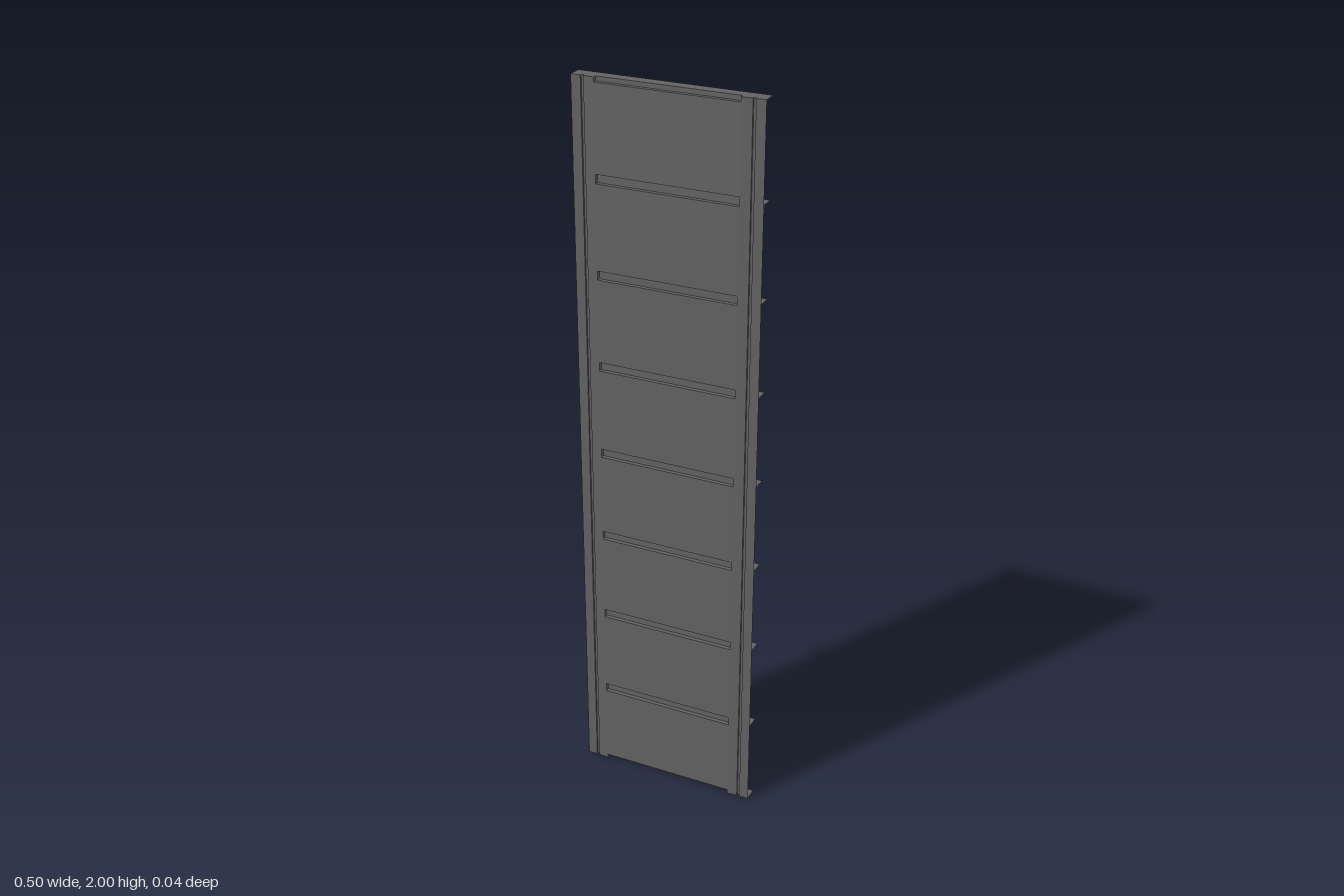
import * as THREE from 'three';

const H = 2, PITCH = 0.25, COUNT = 9;
const HALF = 0.25, SLOT_X = 0.188, SLOT_H = 0.012;
const FACE = 0.021, SLOT_Z = 0.01, BACK = -0.021;

// Edge profile of the pressed sheet, [x, z] from the slot end outwards
const EDGE = [
  [SLOT_X, FACE], [0.2165, 0.0185], [0.2165, 0.0135],
  [0.2242, 0.0135], [0.2242, 0.0185], [HALF, 0.0185],
];

const material = new THREE.MeshStandardMaterial({ color: 0x626262, side: THREE.DoubleSide });

// Flat-shaded ribbon between two equally long rows of points
function ribbon(a, b) {
  const pos = [];
  for (let i = 0; i < a.length - 1; i++) {
    pos.push(...a[i], ...a[i + 1], ...b[i + 1], ...a[i], ...b[i + 1], ...b[i]);
  }
  const g = new THREE.BufferGeometry();
  g.setAttribute('position', new THREE.Float32BufferAttribute(pos, 3));
  g.computeVertexNormals();
  return g;
}

export function createModel() {
  const group = new THREE.Group();
  const add = (name, geometry) => {
    const mesh = new THREE.Mesh(geometry, material);
    mesh.name = name;
    group.add(mesh);
    return mesh;
  };

  // Side strips with a vertical groove, mirrored
  for (const s of [1, -1]) {
    const row = (y) => {
      const r = EDGE.map(([x, z]) => [s * x, y, z]);
      return s > 0 ? r : r.reverse();
    };
    add(s > 0 ? 'leftGroovedStrip' : 'rightGroovedStrip', ribbon(row(0), row(H)));
  }

  // Central sheet, stepping back into a slot at every shelf level
  const steps = [];
  for (let i = 0; i < COUNT; i++) {
    const y = i * PITCH, lo = Math.max(0, y - SLOT_H), hi = Math.min(H, y + SLOT_H);
    if (i > 0) steps.push([lo, FACE]);
    steps.push([lo, SLOT_Z], [hi, SLOT_Z]);
    if (i < COUNT - 1) steps.push([hi, FACE]);

    // Slot end walls
    for (const s of [1, -1]) {
      const x = s * SLOT_X;
      add('slotEnd', ribbon([[x, lo, SLOT_Z], [x, hi, SLOT_Z]], [[x, lo, FACE], [x, hi, FACE]]));
    }
  }
  const column = (x) => steps.map(([y, z]) => [x, y, z]);
  add('centralSheet', ribbon(column(SLOT_X), column(-SLOT_X)));

  // Thin shelves behind the sheet, cut to its outline
  const outline = [
    [-HALF, BACK], [HALF, BACK],
    ...[...EDGE].reverse(), [SLOT_X, SLOT_Z],
    [-SLOT_X, SLOT_Z], ...EDGE.map(([x, z]) => [-x, z]),
  ].map(([x, z]) => new THREE.Vector2(x, z));
  const shelf = new THREE.ShapeGeometry(new THREE.Shape(outline));
  shelf.rotateX(Math.PI / 2);
  for (let i = 0; i < COUNT; i++) add('shelf', shelf).position.y = i * PITCH;

  return group;
}
